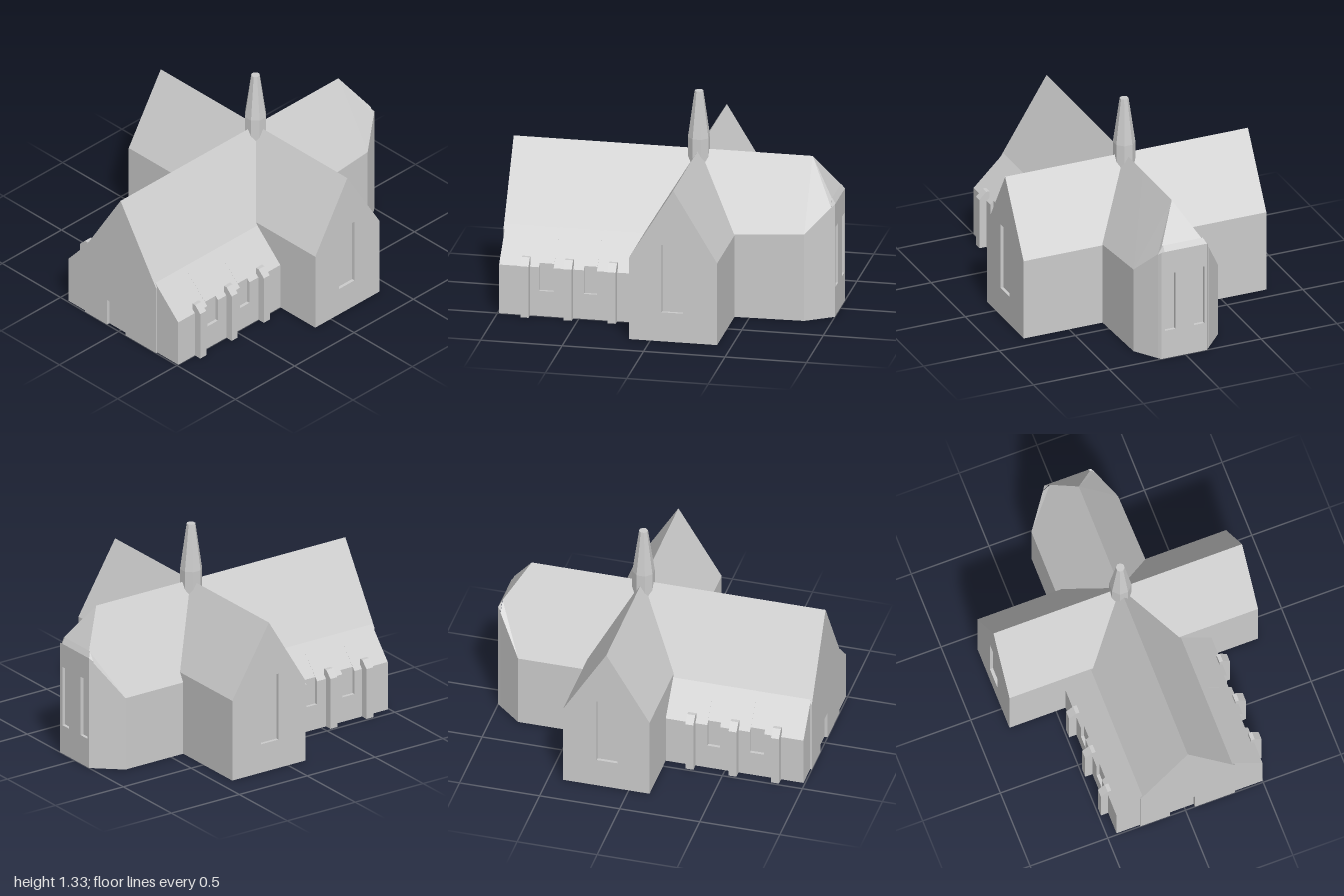
import * as THREE from 'three';

const RIDGE = 0.965, EAVE = 0.52, MID = 0.015, RECESS = 0.02;

const outline = (points) => new THREE.Shape(points.map(([a, b]) => new THREE.Vector2(a, b)));

const rect = (a0, a1, b0, b1) => [[a0, b0], [a1, b0], [a1, b1], [a0, b1]];

// Extrude an (x, y) outline along z
function prismZ(points, z0, z1, holes = []) {
  const shape = outline(points);
  holes.forEach((h) => shape.holes.push(outline(h)));
  return new THREE.ExtrudeGeometry(shape, { depth: z1 - z0, bevelEnabled: false }).translate(0, 0, z0);
}

// Extrude a (z, y) outline along x
function prismX(points, x0, x1, holes = []) {
  return prismZ(points, 0, x1 - x0, holes).rotateY(-Math.PI / 2).translate(x1, 0, 0);
}

// Skin a row of (z, y) cross-sections along x and close the far end
function loftX(sections) {
  const pos = [];
  const p = (i, j) => {
    const { x, ring } = sections[i];
    const [z, y] = ring[j % ring.length];
    return [x, y, z];
  };
  const n = sections[0].ring.length, last = sections.length - 1;
  for (let i = 0; i < last; i++) {
    for (let j = 0; j < n; j++) {
      const a = p(i, j), b = p(i, j + 1), c = p(i + 1, j + 1), d = p(i + 1, j);
      pos.push(...a, ...b, ...c, ...a, ...c, ...d);
    }
  }
  for (let j = 1; j < n - 1; j++) pos.push(...p(last, 0), ...p(last, j), ...p(last, j + 1));
  const geo = new THREE.BufferGeometry();
  geo.setAttribute('position', new THREE.Float32BufferAttribute(pos, 3));
  geo.computeVertexNormals();
  return geo;
}

export function createModel() {
  const model = new THREE.Group();
  model.name = 'church';
  const stone = new THREE.MeshStandardMaterial({ color: 0xcccccc });
  stone.name = 'grey stone';
  const add = (name, geo) => {
    const mesh = new THREE.Mesh(geo, stone);
    mesh.name = name;
    model.add(mesh);
    return mesh;
  };

  // Transept with a tall recessed window in each gable
  const gable = [[-0.13, 0], [0.41, 0], [0.41, EAVE], [0.14, RIDGE], [-0.13, EAVE]];
  const tallWindow = rect(0.07, 0.2, 0.185, 0.615);
  const end = 0.8 - RECESS;
  add('transept', prismZ(gable, -end, end));
  add('frontGable', prismZ(gable, end, 0.8, [tallWindow]));
  add('backGable', prismZ(gable, -0.8, -end, [tallWindow]));

  // Nave, its end wall notched by the door
  const naveTop = [[0.32, 0], [0.32, 0.475], [MID, RIDGE], [-0.29, 0.475], [-0.29, 0]];
  add('nave', prismX(naveTop, -1 + RECESS, 0.14));
  const door = [[-0.1, 0], [-0.1, 0.18], [0.06, 0.18], [0.06, 0]];
  add('doorGable', prismX([...naveTop, ...door], -1, -1 + RECESS));

  // Side aisles: windows cut up through the eaves, buttresses between them
  const aisleCuts = [-0.99, -0.745, -0.655, -0.47, -0.39, -0.13];
  for (const [side, s, wall, join] of [['front', 1, 0.5, 0.3], ['back', -1, 0.44, 0.27]]) {
    const inner = wall - RECESS;
    const profile = (edge) => [[0.1, 0], [wall, 0], ...edge, [join, 0.505], [0.1, 0.505]]
      .map(([z, y]) => [z * s, y]);
    const solid = profile([[wall, 0.31]]);
    const notched = profile([[wall, 0.16], [inner, 0.16], [inner, 0.331]]);
    for (let i = 0; i < 5; i++) {
      add(side + (i % 2 ? 'AisleWindow' : 'Aisle'),
        prismX(i % 2 ? notched : solid, aisleCuts[i], aisleCuts[i + 1]));
    }
    const buttress = [[inner, 0], [wall + 0.047, 0], [wall + 0.047, 0.325], [wall + 0.003, 0.37], [inner, 0.37]]
      .map(([z, y]) => [z * s, y]);
    for (const x of [-0.825, -0.56, -0.29]) add(side + 'Buttress', prismX(buttress, x - 0.025, x + 0.025));
  }

  // Chancel narrowing to a hipped three-sided end
  const section = (x, back, backEave, front, frontEave, halfTop, top) => ({
    x,
    ring: [[-back, 0], [-back, backEave], [MID - halfTop, top], [MID + halfTop, top], [front, frontEave], [front, 0]],
  });
  add('chancel', loftX([
    section(0.14, 0.29, 0.465, 0.28, 0.525, 0, RIDGE),
    section(0.41, 0.29, 0.465, 0.28, 0.525, 0, RIDGE),
    section(0.835, 0.29, 0.465, 0.267, 0.55, 0, RIDGE),
    section(0.98, 0.161, 0.685, 0.171, 0.7, 0.13, 0.75),
  ]));

  // End wall with two recessed windows; its inner edge widens to meet the chancel
  const endWall = prismX(
    [[-0.15, 0], [0.15, 0], [0.15, 0.715], [0.13, 0.715], [-0.13, 0.715], [-0.15, 0.715]], 0.98, 1,
    [rect(0.058, 0.128, 0.185, 0.565), rect(-0.132, -0.062, 0.185, 0.565)]);
  const v = endWall.attributes.position;
  for (let i = 0; i < v.count; i++) {
    if (v.getX(i) > 0.99) continue;
    if (Math.abs(v.getZ(i)) > 0.14) v.setXYZ(i, 0.98, v.getY(i) * 0.972, v.getZ(i) * 1.107);
    else if (v.getY(i) > 0.7) v.setY(i, 0.75);
  }
  endWall.computeVertexNormals();
  add('chancelEndWall', endWall.translate(0, 0, 0.006));

  // Eight-sided spire over the crossing
  const flats = Math.cos(Math.PI / 8);
  const drum = (r0, r1, y0, y1) => {
    const geo = new THREE.CylinderGeometry(r1 / flats, r0 / flats, y1 - y0, 8, 1, false, Math.PI / 8)
      .toNonIndexed();
    geo.computeVertexNormals();
    return geo.translate(0.137, (y0 + y1) / 2, MID);
  };
  add('spireBase', drum(0.063, 0.063, 0.85, 1.04));
  add('spire', drum(0.063, 0.025, 1.04, 1.333));

  return model;
}
